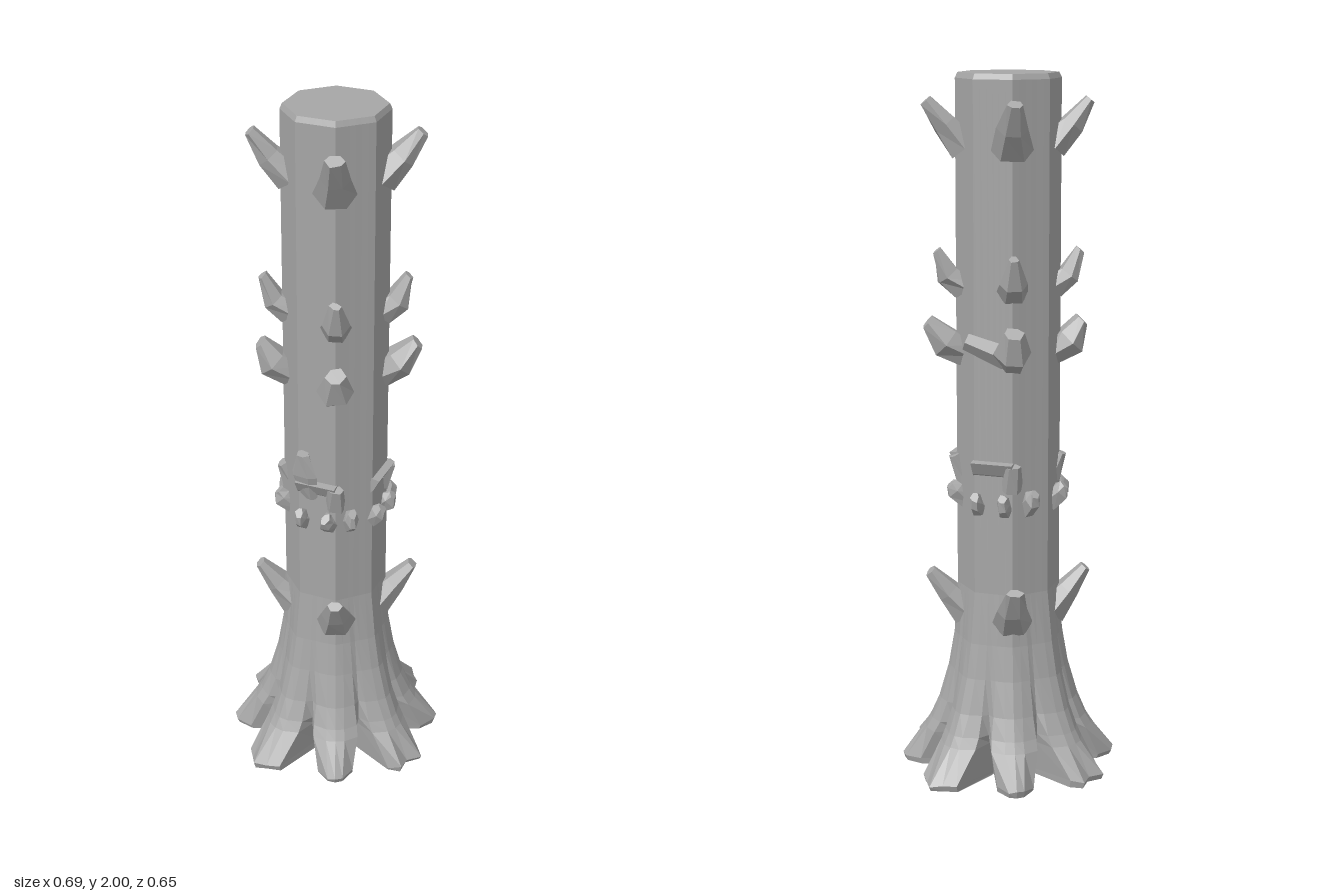
import * as THREE from 'three';

const bark = new THREE.MeshStandardMaterial({ color: 0xa6a6a6, flatShading: true });
bark.name = 'bark grey';

let seed = 7;
const jitter = (amount) => {
  seed = (seed * 16807) % 2147483647;
  return (seed / 2147483647 - 0.5) * 2 * amount;
};

// Skin a list of rings (lowest first, counterclockwise about the axis) and cap both ends
function loft(rings) {
  const n = rings[0].length, pos = [], idx = [];
  rings.forEach((ring) => ring.forEach((p) => pos.push(...p)));
  for (let i = 0; i < rings.length - 1; i++) {
    for (let j = 0; j < n; j++) {
      const a = i * n + j, b = i * n + (j + 1) % n;
      idx.push(a, b, a + n, b, b + n, a + n);
    }
  }
  [0, rings.length - 1].forEach((i) => {
    const c = pos.length / 3;
    pos.push(...[0, 1, 2].map((k) => rings[i].reduce((s, p) => s + p[k], 0) / n));
    for (let j = 0; j < n; j++) {
      const a = i * n + j, b = i * n + (j + 1) % n;
      if (i) idx.push(a, b, c); else idx.push(b, a, c);
    }
  });
  const g = new THREE.BufferGeometry();
  g.setAttribute('position', new THREE.Float32BufferAttribute(pos, 3));
  g.setIndex(idx);
  g.computeVertexNormals();
  return g;
}

function part(name, geometry, angle = 0) {
  const m = new THREE.Mesh(geometry, bark);
  m.name = name;
  m.rotation.y = angle;
  return m;
}

// One ring of eight root sectors: ridge, middle, shoulder and valley
function trunkRing(y, sector) {
  const ring = [];
  for (let k = 0; k < 8; k++) {
    const a = k * Math.PI / 4, s = Math.sin(a), c = Math.cos(a);
    const [ridge, midU, midR, shU, shR, valley] = sector(k);
    const v = Math.PI / 8;
    const pts = [[-shU, shR], [-midU, midR], [0, ridge], [midU, midR], [shU, shR],
      [valley * Math.sin(v), valley * Math.cos(v)]];
    pts.forEach(([u, r]) => ring.push([u * c + r * s, y, r * c - u * s]));
  }
  return ring;
}

const octagon = (r) => () =>
  [r, 0.124 * r, 0.949 * r, 0.248 * r, 0.897 * r, 0.924 * r];

// Root ends differ: split on the z axis, pointed on the x axis and on the diagonals
function foot(k) {
  if (k % 4 === 0) return [0.305, 0.044, 0.323, 0.063, 0.288, 0.14];
  if (k % 2 === 0) return [0.345, 0.03, 0.322, 0.064, 0.30, 0.14];
  return [0.312, 0.022, 0.305, 0.052, 0.262, 0.14];
}

function buildTrunk() {
  // Height, then ridge, middle, shoulder and valley positions
  const flare = [
    [0.11, 0.255, 0.028, 0.25, 0.066, 0.222, 0.165],
    [0.14, 0.238, 0.026, 0.232, 0.064, 0.205, 0.182],
    [0.2, 0.212, 0.026, 0.204, 0.057, 0.183, 0.178],
    [0.3, 0.182, 0.024, 0.175, 0.05, 0.16, 0.163],
    [0.4, 0.164, 0.022, 0.156, 0.044, 0.145, 0.149],
  ];
  const feet = trunkRing(0.02, foot);
  const soles = feet.map(([x, y, z]) => [x * 0.98, 0.005, z * 0.98]);
  feet.forEach((p) => { p[1] += jitter(0.008); });
  const rings = [
    trunkRing(0, octagon(0.15)), soles, feet,
    ...flare.map(([y, ...s]) => trunkRing(y, (k) =>
      k % 2 ? [s[0] * 0.96, s[1], s[2] * 0.97, s[3], s[4], s[5]] : s)),
    trunkRing(0.55, octagon(0.147)),
    trunkRing(1.985, octagon(0.146)),
    trunkRing(2, octagon(0.139)),
  ];
  return part('trunkAndRoots', loft(rings));
}

// Six-sided stub through [height, reach, half width, half thickness], pointing out along +z
function stub(stations) {
  const first = stations[0], last = stations[stations.length - 1];
  const dy = last[0] - first[0], dz = last[1] - first[1], len = Math.hypot(dy, dz);
  return loft(stations.map(([y, r, w, t]) => {
    const ring = [];
    for (let j = 0; j < 6; j++) {
      const a = j * Math.PI / 3, e = t * Math.sin(a) + jitter(0.004);
      ring.push([w * Math.cos(a) + jitter(0.004), y + e * dz / len, r - e * dy / len]);
    }
    return ring;
  }));
}

export function createModel() {
  const model = new THREE.Group();
  model.name = 'treeTrunk';
  model.add(buildTrunk());

  // Broken branches and knots on the four diagonals
  for (let k = 0; k < 4; k++) {
    const a = Math.PI / 4 + k * Math.PI / 2;
    [0.46, 1.8].forEach((y) => model.add(part('branchStub', stub([
      [y, 0.12, 0.06, 0.05], [y + 0.06, 0.175, 0.043, 0.034], [y + 0.125, 0.226, 0.024, 0.016],
    ]), a)));
    model.add(part('upperKnot', stub([
      [1.41, 0.115, 0.045, 0.045], [1.445, 0.17, 0.04, 0.036], [1.515, 0.2, 0.016, 0.012],
    ]), a));
    const reach = k === 0 ? 0.018 : 0;
    model.add(part('lowerKnot', stub([
      [1.22, 0.115, 0.04, 0.045], [1.255, 0.178, 0.052, 0.048], [1.315, 0.208 + reach, 0.027, 0.022],
    ]), a));
  }

  // Ridge of bark bridging two facets beside a knot
  const bridge = part('barkBridge', new THREE.CylinderGeometry(0.025, 0.035, 0.12, 5), 0);
  const bridgeHolder = new THREE.Group();
  bridgeHolder.name = 'barkBridgeHolder';
  bridge.position.set(-0.045, 1.26, 0.145);
  bridge.rotation.z = 1.2;
  bridgeHolder.rotation.y = Math.PI * 0.69;
  bridgeHolder.add(bridge);
  model.add(bridgeHolder);

  // Torn bark shelves with small chips hanging below
  [22.5, -67.5, 112.5].forEach((deg) => {
    const g = new THREE.Group();
    g.name = 'tornBark';
    g.rotation.y = deg * Math.PI / 180;
    const shelf = new THREE.Shape([[0.11, 0.87], [0.139, 0.9], [0.158, 0.935], [0.11, 0.942]]
      .map(([z, y]) => new THREE.Vector2(-z, y)));
    const geo = new THREE.ExtrudeGeometry(shelf, { depth: 0.12, bevelEnabled: false });
    geo.rotateY(Math.PI / 2).translate(-0.06, 0, 0);
    g.add(part('barkShelf', geo));
    [-0.045, 0.035].forEach((x) => {
      const chip = part('barkChip', stub([
        [0.8, 0.12, 0.024, 0.03], [0.822, 0.15, 0.02, 0.03], [0.84, 0.163, 0.012, 0.016],
      ]));
      chip.position.x = x;
      g.add(chip);
    });
    model.add(g);
  });

  // Single chips and a raised slab on the remaining sides
  [-28, 52, 157, 205, -128].forEach((deg) => model.add(part('looseChip', stub([
    [0.8, 0.115, 0.025, 0.035], [0.83, 0.155, 0.02, 0.03], [0.85, 0.165, 0.012, 0.015],
  ]), deg * Math.PI / 180)));
  model.add(part('barkSlab', stub([
    [0.88, 0.125, 0.035, 0.014], [0.96, 0.148, 0.045, 0.018], [1.03, 0.155, 0.02, 0.012],
  ]), -Math.PI / 2 + 0.15));
  [45, 135, 225, 315].forEach((deg) => model.add(part('barkFlake', stub([
    [0.86, 0.125, 0.03, 0.03], [0.93, 0.155, 0.022, 0.014],
  ]), deg * Math.PI / 180)));
  return model;
}
